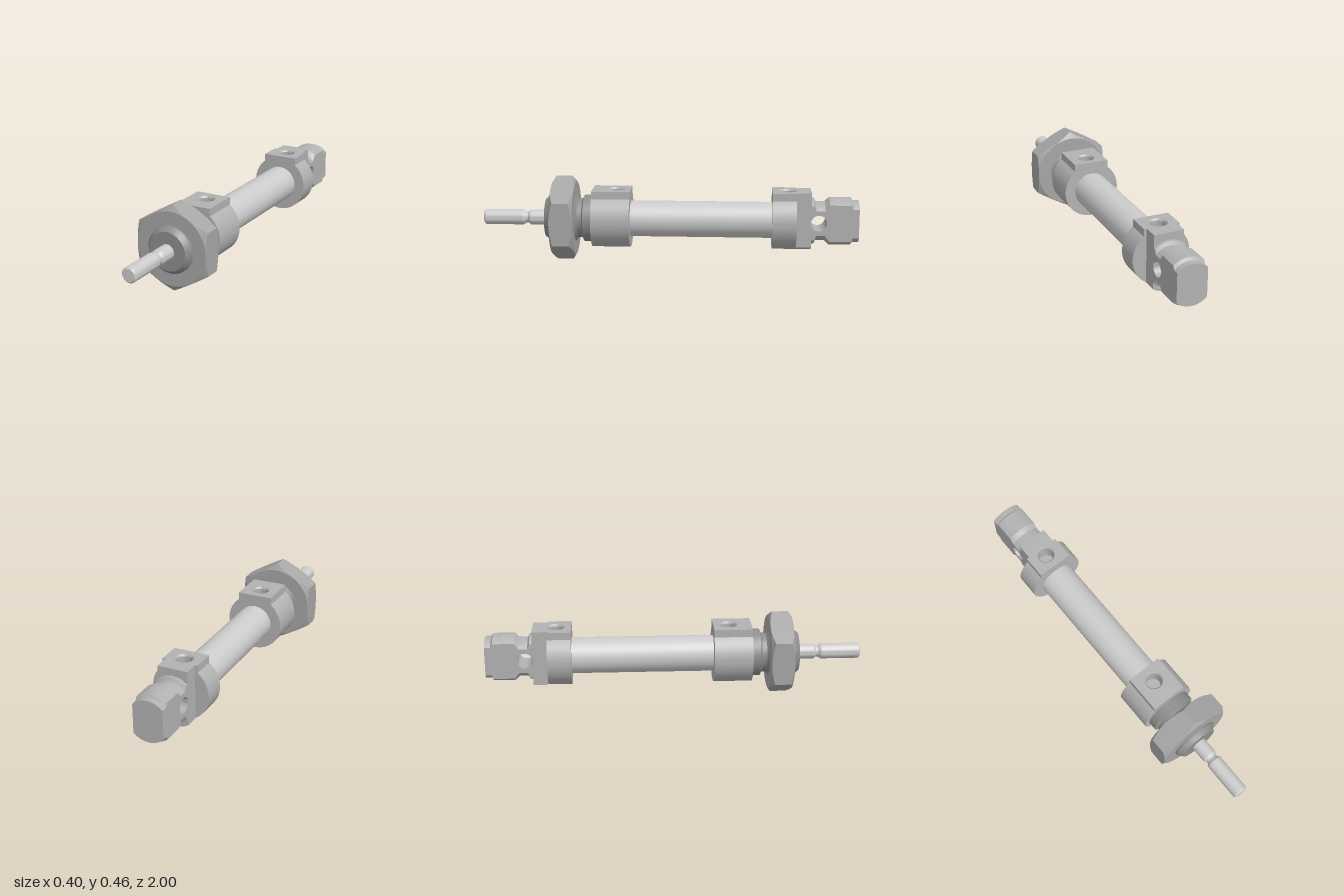
import * as THREE from 'three';
import { toCreasedNormals } from 'three/addons/utils/BufferGeometryUtils.js';

const steel = (color) => new THREE.MeshStandardMaterial({ color });
const ROD = steel(0xcccccc), TUBE = steel(0xc0c0c0), CAP = steel(0xb2b2b2);
const NUT = steel(0xa6a6a6), NECK = steel(0x8e8e8e);

const FLAT = 0.08;      // half width across the tang flats
const BODY_R = 0.153;   // radius of the end caps
const PAD_X = 0.095;    // half width of the port pads
const PAD_TOP = 0.16;
const PORT_FLOOR = 0.06;
const PORT_R = 0.048;

// surface from a grid of points; point(i, j) returns [x, y, z]
function grid(rows, cols, point) {
  const pos = [], index = [];
  for (let i = 0; i <= rows; i++)
    for (let j = 0; j <= cols; j++) pos.push(...point(i, j));
  for (let i = 0; i < rows; i++)
    for (let j = 0; j < cols; j++) {
      const a = i * (cols + 1) + j, b = a + cols + 1;
      index.push(a, a + 1, b, b, a + 1, b + 1);
    }
  const g = new THREE.BufferGeometry();
  g.setAttribute('position', new THREE.Float32BufferAttribute(pos, 3));
  g.setIndex(index);
  return g;
}

// solid of revolution about y from [radius, height] pairs
function lathe(profile) {
  return new THREE.LatheGeometry(profile.map(([r, y]) => new THREE.Vector2(r, y)), 32);
}

// the same about z, with z rising
const turned = (profile) => lathe(profile).rotateX(Math.PI / 2);

function extrude(shape, depth) {
  return new THREE.ExtrudeGeometry(shape, { depth, bevelEnabled: false, curveSegments: 32 });
}

function polygon(points) {
  return new THREE.Shape(points.map(([x, y]) => new THREE.Vector2(x, y)));
}

function roundHole(x, y, r) {
  return new THREE.Path().absarc(x, y, r, 0, Math.PI * 2, true);
}

// round cap body, cut away at the top where the pad sits
function capBody(z0, z1) {
  const a = Math.acos(PAD_X / BODY_R);
  const s = new THREE.Shape();
  s.moveTo(-PAD_X, PORT_FLOOR);
  s.lineTo(-PAD_X, BODY_R * Math.sin(a));
  s.absarc(0, 0, BODY_R, Math.PI - a, 2 * Math.PI + a, false);
  s.lineTo(PAD_X, PORT_FLOOR);
  return extrude(s, z1 - z0).translate(0, 0, z0);
}

// flat-topped pad with a blind port; outline in (x, -z)
function portPad(outline, portZ) {
  const s = polygon(outline);
  s.holes.push(roundHole(0, -portZ, PORT_R));
  return extrude(s, PAD_TOP - PORT_FLOOR).rotateX(-Math.PI / 2).translate(0, PORT_FLOOR, 0);
}

// countersunk lining of a port, facing inward
function portLining(portZ) {
  return lathe([
    [PORT_R, PAD_TOP], [0.041, PAD_TOP - 0.01], [0.041, PORT_FLOOR + 0.002], [0, PORT_FLOOR + 0.002],
  ]).translate(0, 0, portZ);
}

// hexagon nut with conical chamfers on both faces
function hexNut(zBack, zFront) {
  const n = 72, face = 0.196;
  const hexR = (t) => {
    const k = Math.PI / 3;
    return 0.1975 / Math.cos(t - Math.round(t / k) * k);
  };
  return grid(5, n, (i, j) => {
    const t = (j / n) * Math.PI * 2, h = hexR(t);
    const drop = Math.max(0, h - face) * 0.6;
    const r = [0.09, face, h, h, face, 0.09][i];
    const z = [zBack, zBack, zBack + drop, zFront - drop, zFront, zFront][i];
    return [r * Math.cos(t), r * Math.sin(t), z];
  });
}

export function createModel() {
  const model = new THREE.Group();
  const axis = new THREE.Group();
  axis.name = 'cylinderAssembly';
  axis.position.y = 0.228;
  model.add(axis);

  const add = (name, material, geometry, crease = 0.5) => {
    const m = new THREE.Mesh(toCreasedNormals(geometry, crease), material);
    m.name = name;
    axis.add(m);
  };

  // sliding rod with a turned groove and chamfered tip
  add('pistonRod', ROD, turned([
    [0, 0.6], [0.04, 0.6], [0.04, 0.75], [0.03, 0.762], [0.03, 0.772],
    [0.041, 0.79], [0.041, 0.992], [0.033, 1], [0, 1],
  ]), 0.4);

  // mounting neck, nut and main tube
  add('mountingNeck', NECK, turned([
    [0, 0.4], [0.125, 0.4], [0.125, 0.457], [0.105, 0.465], [0.105, 0.49],
    [0.125, 0.505], [0.125, 0.638], [0.107, 0.658], [0.103, 0.664], [0, 0.664],
  ]), 0.4);
  add('mountingNut', NUT, hexNut(0.503, 0.626), 0.2);
  add('barrel', TUBE, turned([[0, -0.56], [0.096, -0.56], [0.096, 0.215], [0, 0.215]]));

  // front cap
  add('frontCap', CAP, capBody(0.208, 0.412));
  add('frontPortPad', CAP, portPad([
    [-PAD_X, -0.412], [PAD_X, -0.412], [PAD_X, -0.208], [-PAD_X, -0.208],
  ], 0.288));
  add('frontPort', CAP, portLining(0.288));

  // rear cap, whose pad narrows to the tang width
  add('rearCap', CAP, capBody(-0.67, -0.545));
  add('rearPortPad', CAP, portPad([
    [-PAD_X, 0.545], [PAD_X, 0.545], [PAD_X, 0.67], [FLAT, 0.67],
    [FLAT, 0.75], [-FLAT, 0.75], [-FLAT, 0.67], [-PAD_X, 0.67],
  ], -0.627));
  add('rearPort', CAP, portLining(-0.627));

  // rear tang: turned profile [radius, distance back] cut by two flats
  const tang = [
    [BODY_R, 0.669], [BODY_R, 0.75], [0.122, 0.75], [0.122, 0.765], [0.104, 0.775],
    [0.104, 0.822], [0.126, 0.845], [0.126, 0.958], [0.111, 0.968], [0.111, 1],
  ];
  const chord = (r) => Math.sqrt(r * r - FLAT * FLAT);
  const side = polygon([
    ...tang.map(([r, d]) => [d, -chord(r)]),
    ...tang.map(([r, d]) => [d, chord(r)]).reverse(),
  ]);
  side.holes.push(roundHole(0.79, 0, 0.042));
  add('tangCore', CAP, extrude(side, 2 * FLAT).translate(0, 0, -FLAT).rotateY(Math.PI / 2));

  // rounded top and bottom of the tang, closed at both ends
  const n = 12, last = tang.length + 1;
  const crown = () => grid(last, n, (i, j) => {
    const [r, d] = tang[Math.min(Math.max(i - 1, 0), tang.length - 1)];
    const x = FLAT * (2 * j / n - 1);
    const y = i === 0 || i === last ? chord(r) : Math.sqrt(Math.max(0, r * r - x * x));
    return [x, y, -d];
  });
  add('tangTop', CAP, crown());
  add('tangBottom', CAP, crown().rotateZ(Math.PI));

  return model;
}
